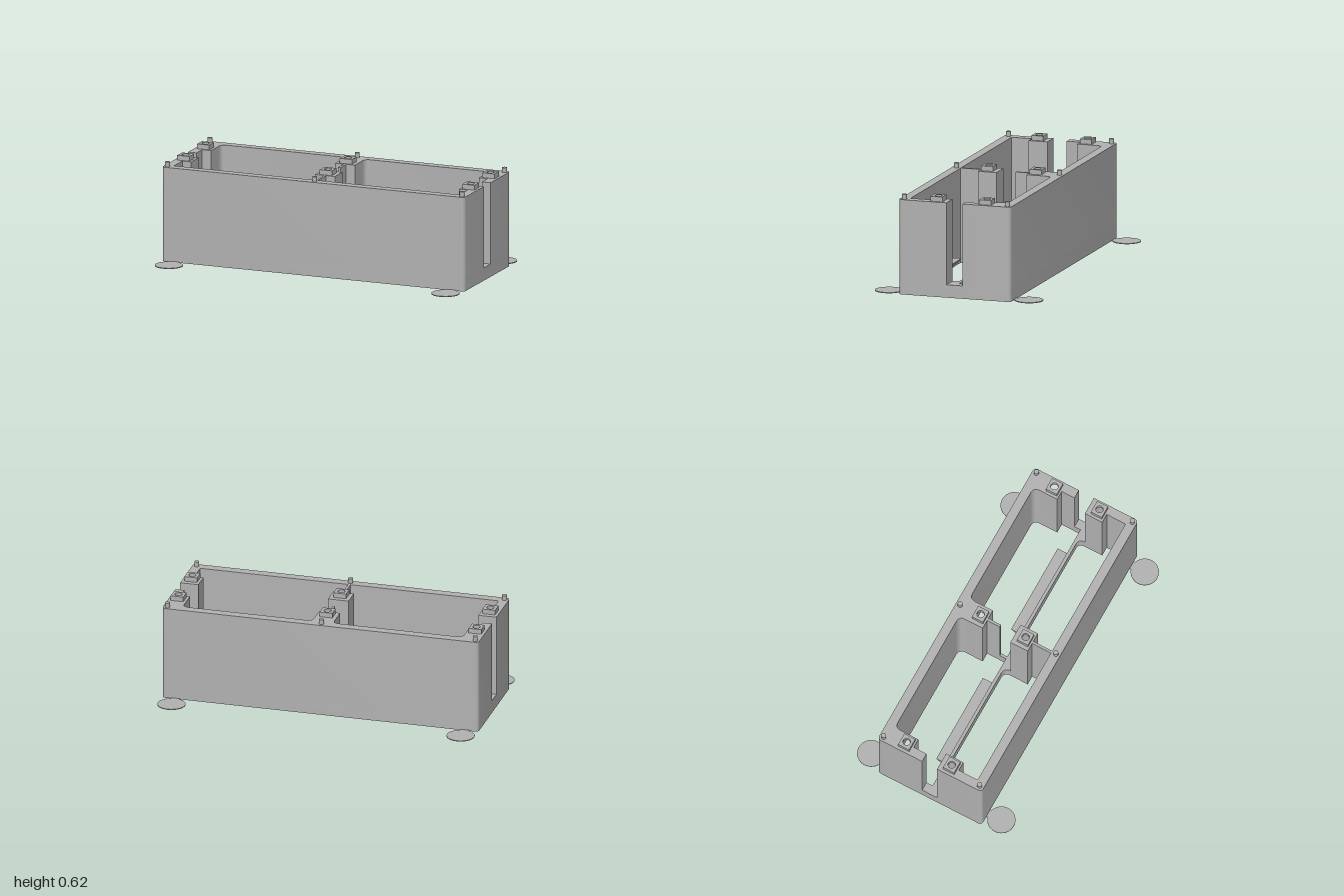
import * as THREE from 'three';
import { toCreasedNormals } from 'three/addons/utils/BufferGeometryUtils.js';

const HX = 1, HZ = 0.36;          // half length and half depth of the body
const BASE = 0.08, TOP = 0.59;    // slot floor and rim height
const SLOT = 0.052;               // half width of the slot
const R = 0.025, F = 0.04;        // outer corner and inner fillet radii
const PITCH = 0.312;              // distance between the two rows of cells
const POST_X = [-0.942, 0, 0.942], POST_Z = [-0.19, -0.19 + PITCH];

// Plans are drawn as (x, z) and extruded from y0 up to y1
function extrudePlan(shape, y0, y1) {
  const g = new THREE.ExtrudeGeometry(shape, { depth: y1 - y0, bevelEnabled: false, curveSegments: 8 });
  g.rotateX(Math.PI / 2).translate(0, y1, 0);
  return toCreasedNormals(g, 0.5);
}

function hole(x, z, r) {
  return new THREE.Path().absarc(x, z, r, 0, Math.PI * 2, true);
}

// One cell opening: narrowed by the posts at its back, with filleted corners
function cell(s, dz) {
  const p = new THREE.Path();
  const to = (x, z) => p.lineTo(s * x, z + dz);
  p.moveTo(s * 0.008, -0.01 + dz);
  to(0.943, -0.01); to(0.943, -0.14); to(0.885, -0.14); to(0.885, -0.302 + F);
  p.quadraticCurveTo(s * 0.885, -0.302 + dz, s * (0.885 - F), -0.302 + dz);
  to(0.065 + F, -0.302);
  p.quadraticCurveTo(s * 0.065, -0.302 + dz, s * 0.065, -0.302 + F + dz);
  to(0.065, -0.14); to(0.008, -0.14);
  p.closePath();
  return p;
}

// Outer wall of one half, from one slot edge round to the other
function halfOutline(d) {
  const p = new THREE.Shape();
  p.moveTo(HX, d * SLOT);
  p.lineTo(HX, d * (HZ - R));
  p.quadraticCurveTo(HX, d * HZ, HX - R, d * HZ);
  p.lineTo(-HX + R, d * HZ);
  p.quadraticCurveTo(-HX, d * HZ, -HX, d * (HZ - R));
  p.lineTo(-HX, d * SLOT);
  return p;
}

function backHalf() {
  const p = halfOutline(-1);
  for (const [a, b, s] of [[0.943, 0.008, -1], [0.008, 0.943, 1]]) {
    const pa = a > b ? 0.885 : 0.065, pb = a > b ? 0.065 : 0.885;
    const f = a > b ? -F : F;
    p.lineTo(s * a, -SLOT);
    p.lineTo(s * a, -0.14);
    p.lineTo(s * pa, -0.14);
    p.lineTo(s * pa, -0.302 + F);
    p.quadraticCurveTo(s * pa, -0.302, s * (pa + f), -0.302);
    p.lineTo(s * (pb - f), -0.302);
    p.quadraticCurveTo(s * pb, -0.302, s * pb, -0.302 + F);
    p.lineTo(s * pb, -0.14);
    p.lineTo(s * b, -0.14);
    p.lineTo(s * b, -SLOT);
  }
  p.closePath();
  return p;
}

function frontHalf() {
  const p = halfOutline(1);
  const inner = [[0.885, SLOT], [0.885, 0.172], [0.943, 0.172], [0.943, 0.302],
    [0.008, 0.302], [0.008, 0.172], [0.065, 0.172], [0.065, SLOT]];
  for (const [x, z] of inner) p.lineTo(-x, z);
  for (const [x, z] of [...inner].reverse()) p.lineTo(x, z);
  p.closePath();
  return p;
}

export function createModel() {
  const model = new THREE.Group();
  const grey = new THREE.MeshStandardMaterial({ color: 0xb2b2b2 });
  grey.name = 'grey plastic';
  const add = (name, geometry, x = 0, y = 0, z = 0) => {
    const m = new THREE.Mesh(geometry, grey);
    m.name = name;
    m.position.set(x, y, z);
    model.add(m);
    return m;
  };

  // Low base frame with four cells and the bolt holes
  const base = new THREE.Shape();
  base.moveTo(HX, -HZ + R);
  base.lineTo(HX, HZ - R);
  base.quadraticCurveTo(HX, HZ, HX - R, HZ);
  base.lineTo(-HX + R, HZ);
  base.quadraticCurveTo(-HX, HZ, -HX, HZ - R);
  base.lineTo(-HX, -HZ + R);
  base.quadraticCurveTo(-HX, -HZ, -HX + R, -HZ);
  base.lineTo(HX - R, -HZ);
  base.quadraticCurveTo(HX, -HZ, HX, -HZ + R);
  for (const s of [-1, 1]) for (const dz of [0, PITCH]) base.holes.push(cell(s, dz));
  for (const x of POST_X) for (const z of POST_Z) base.holes.push(hole(x, z, 0.027));
  add('baseFrame', extrudePlan(base, 0, BASE));

  // Tall walls and posts either side of the slot
  [backHalf(), frontHalf()].forEach((shape, i) => {
    for (const x of POST_X) shape.holes.push(hole(x, POST_Z[i], 0.027));
    add(i ? 'frontWall' : 'backWall', extrudePlan(shape, BASE, TOP));
  });

  // Square bored pads on top of the posts
  const pad = new THREE.Shape();
  pad.moveTo(-0.04, -0.038);
  pad.lineTo(0.04, -0.038);
  pad.lineTo(0.04, 0.038);
  pad.lineTo(-0.04, 0.038);
  pad.closePath();
  pad.holes.push(hole(0, 0, 0.023));
  const padGeometry = extrudePlan(pad, TOP, 0.62);
  for (const x of POST_X) for (const z of POST_Z) add('postPad', padGeometry, x, 0, z);

  // Locating pins along the rims
  const pin = new THREE.CylinderGeometry(0.015, 0.015, 0.04, 20);
  for (const x of [-0.973, 0, 0.973]) for (const z of [-0.332, 0.332]) add('locatingPin', pin, x, 0.6, z);

  // Ledges with a sloping underside, low in each cell
  const wedge = new THREE.Shape();
  wedge.moveTo(0, 0);
  wedge.lineTo(0.066, 0.066);
  wedge.lineTo(0, 0.066);
  wedge.closePath();
  const ledge = new THREE.ExtrudeGeometry(wedge, { depth: 0.595, bevelEnabled: false });
  ledge.translate(0, 0, -0.2975).rotateY(Math.PI / 2);
  for (const x of [-0.477, 0.477]) for (const z of [-0.01, 0.302]) add('ledge', ledge, x, 0, z);

  // Thin corner discs joined to the body by short tabs
  const disc = new THREE.CylinderGeometry(0.086, 0.086, 0.005, 40);
  const tab = new THREE.BoxGeometry(0.054, 0.005, 0.03);
  for (const x of [-0.914, 0.914]) {
    for (const s of [-1, 1]) {
      add('cornerDisc', disc, x, 0.0025, s * 0.451);
      add('discTab', tab, x, 0.0025, s * 0.37);
    }
  }
  return model;
}
